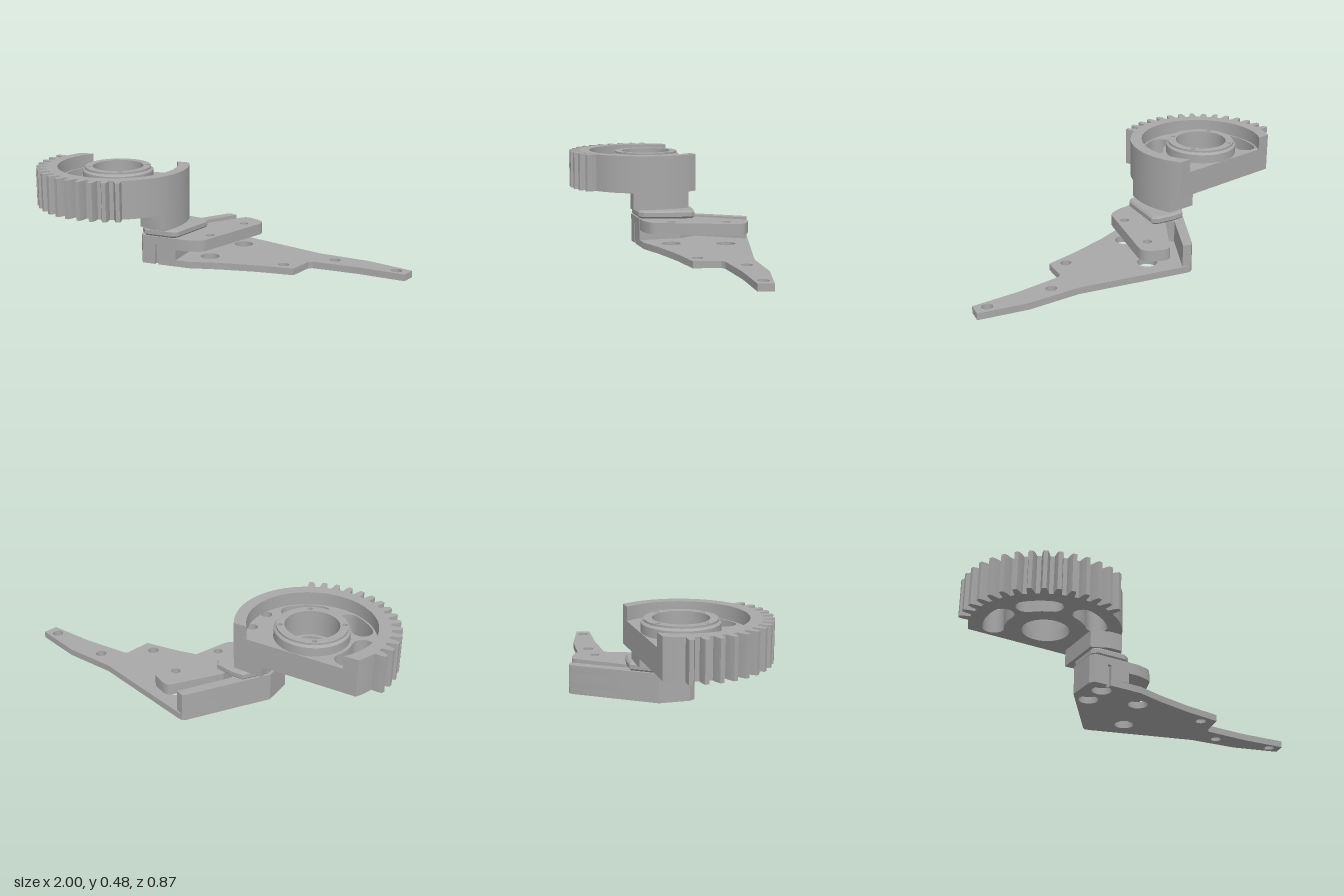
import * as THREE from 'three';
import { toCreasedNormals } from 'three/addons/utils/BufferGeometryUtils.js';

const CX = -0.57; // gear axis
const rad = (d) => (d * Math.PI) / 180;
const polar = (r, deg) => new THREE.Vector2(CX + r * Math.cos(rad(deg)), r * Math.sin(rad(deg)));

// Points along an arc around the gear axis
function arc(r, from, to, n = 24) {
  return Array.from({ length: n + 1 }, (_, i) => polar(r, from + ((to - from) * i) / n));
}

function circle(x, z, r) {
  return new THREE.Path().absarc(x, z, r, 0, Math.PI * 2, true);
}

// Curved slot with round ends
function kidney(from, to, r, half) {
  const cap = (deg, sign) =>
    Array.from({ length: 9 }, (_, i) => {
      const a = rad(deg + sign * 180 * (i / 8) + (sign > 0 ? 0 : 180));
      return polar(r, deg).add(new THREE.Vector2(Math.cos(a) * half, Math.sin(a) * half));
    });
  const end = cap(to, 1);
  const start = cap(from, 1).map((p) => {
    const c = polar(r, from);
    return new THREE.Vector2(2 * c.x - p.x, 2 * c.y - p.y);
  });
  return new THREE.Path([
    ...arc(r + half, from, to, 10), ...end, ...arc(r - half, to, from, 10), ...start,
  ]);
}

// Flat outline in (x, z) raised between two heights
function slab(outline, y0, y1, holes = [], bevel = 0) {
  const shape = outline instanceof THREE.Shape
    ? outline
    : new THREE.Shape(outline.map((p) => (p.isVector2 ? p : new THREE.Vector2(p[0], p[1]))));
  shape.holes.push(...holes);
  const geo = new THREE.ExtrudeGeometry(shape, {
    depth: y1 - y0 - 2 * bevel, curveSegments: 20, bevelEnabled: bevel > 0,
    bevelSize: bevel, bevelThickness: bevel, bevelOffset: -bevel, bevelSegments: 1,
  });
  geo.rotateX(Math.PI / 2);
  geo.translate(0, y1 - bevel, 0);
  return toCreasedNormals(geo, 0.45);
}

export function createModel() {
  const group = new THREE.Group();
  const grey = new THREE.MeshStandardMaterial({ color: 0xa8a8a8 });
  grey.name = 'plain grey';
  const add = (name, geo) => {
    const mesh = new THREE.Mesh(geo, grey);
    mesh.name = name;
    group.add(mesh);
  };

  const boltHoles = (r) => [circle(-0.28, -0.075, r), circle(-0.28, 0.07, r)];

  // Gear outline: smooth on the right, toothed at the front and left
  const outer = arc(0.38, -31, 57, 28);
  for (let k = 0; k < 15; k++) {
    const a = 62.2 + k * 9.2;
    outer.push(polar(0.38, a - 3), polar(0.41, a - 2.3), polar(0.433, a - 1.3),
      polar(0.433, a + 1.3), polar(0.41, a + 2.3), polar(0.38, a + 3));
  }
  outer.push(...arc(0.38, 196, 209, 4));

  // Gear web with lightening slots, bore and bolt holes
  add('gearWeb', slab(outer, 0.28, 0.41, [
    circle(CX, 0, 0.15),
    kidney(168, 205, 0.257, 0.053),
    kidney(109, 137, 0.257, 0.053),
    kidney(39, 72, 0.257, 0.053),
    ...boltHoles(0.027),
  ]));
  // Raised rim, open along the straight back
  add('gearRim', slab([...outer, ...arc(0.32, 216, -37, 60)], 0.41, 0.48));

  // Bearing hub with a stepped bore and four screw holes
  const disc = (r) => new THREE.Shape().absarc(CX, 0, r, 0, Math.PI * 2, false);
  const screws = [59, 149, 239, 329].map((d) => {
    const p = polar(0.157, d);
    return circle(p.x, p.y, 0.012);
  });
  add('hubTop', slab(disc(0.175), 0.43, 0.475, [circle(CX, 0, 0.135), ...screws]));
  const collar = new THREE.LatheGeometry(
    [[0.118, 0.28], [0.187, 0.28], [0.187, 0.455], [0.175, 0.465], [0.175, 0.43],
      [0.135, 0.43], [0.135, 0.34], [0.118, 0.34], [0.118, 0.28]]
      .map((p) => new THREE.Vector2(p[0], p[1])), 48);
  collar.translate(CX, 0, 0);
  add('hubCollar', toCreasedNormals(collar, 0.45));

  // Neck joining the gear to the bracket
  add('neck', slab(
    [[-0.38, -0.15], ...arc(0.38, -23, 24.5, 16), [-0.29, 0.158], [-0.38, 0.12]],
    0.19, 0.28, boltHoles(0.027)));

  // Base plate with long tail; the front edge carries a narrow slot
  const slot = [[-0.27, 0.137], [-0.27, 0.115], [-0.29, 0.115], [-0.29, 0.137]];
  const leftEnd = [[-0.36, 0.137], [-0.378, 0.11], [-0.378, -0.05], [-0.368, -0.065]];
  add('basePlate', slab([
    ...leftEnd, [-0.115, -0.432], [-0.1, -0.442], [-0.08, -0.44],
    [0.48, -0.275], [0.75, -0.25], [0.995, -0.18], [0.975, -0.106], [0.73, -0.125],
    [0.49, -0.122], [0.47, -0.11], [0.437, 0.025], [0.24, 0.05], [0.05, 0.09],
    [-0.1, 0.133], ...slot,
  ], 0, 0.035, [
    circle(0.587, -0.197, 0.028), circle(0.922, -0.153, 0.028), circle(0.367, -0.02, 0.028),
    circle(0.045, -0.275, 0.05), circle(-0.035, 0, 0.05),
    circle(-0.28, -0.075, 0.05), circle(-0.28, 0.06, 0.05),
  ]));

  // Block and thin back wall standing on the plate
  const blockEdge = [[-0.225, -0.18], [-0.2, -0.14], [-0.17, -0.09], [-0.17, 0.137]];
  const wallEdge = [[-0.115, -0.432], [-0.1, -0.442], [-0.06, -0.425]];
  add('blockLower', slab([...leftEnd, ...wallEdge, ...blockEdge, ...slot], 0.035, 0.11,
    boltHoles(0.027)));
  add('blockUpper', slab([...leftEnd, ...wallEdge, ...blockEdge], 0.11, 0.15,
    boltHoles(0.027)));

  // Raised pad under the neck
  add('pad', slab([
    [-0.345, 0.137], [-0.37, 0.11], [-0.37, -0.055], [-0.285, -0.175], [-0.225, -0.175],
    [-0.125, -0.155], [-0.108, -0.13], [-0.163, 0.115], [-0.19, 0.137],
  ], 0.15, 0.192, boltHoles(0.027), 0.01));

  // Clevis arm hovering over the plate, with a rounded end
  const arm = new THREE.Shape();
  arm.moveTo(-0.172, 0.135);
  arm.lineTo(-0.172, -0.17);
  arm.lineTo(-0.155, -0.19);
  arm.lineTo(-0.01, -0.385);
  arm.quadraticCurveTo(0.01, -0.412, 0.05, -0.395);
  arm.lineTo(0.1, -0.37);
  arm.quadraticCurveTo(0.138, -0.345, 0.122, -0.295);
  arm.lineTo(-0.02, 0.085);
  arm.quadraticCurveTo(-0.03, 0.11, -0.06, 0.12);
  arm.lineTo(-0.115, 0.135);
  add('arm', slab(arm, 0.09, 0.15, [circle(0.045, -0.275, 0.023), circle(-0.035, 0, 0.023)]));

  return group;
}
